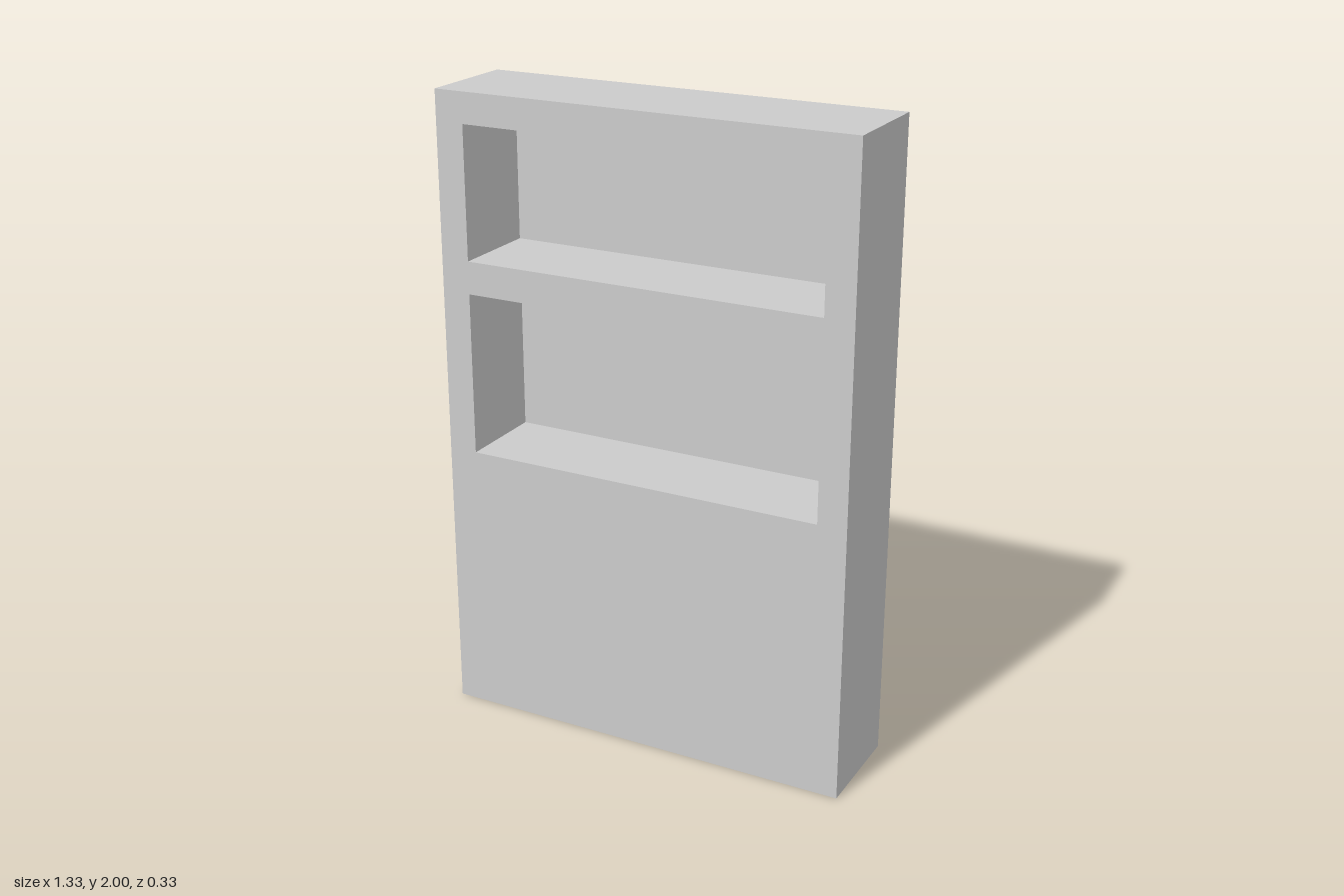
import * as THREE from 'three';

const W = 1.333, H = 2, D = 0.334;
const NICHE_W = 1.15, NICHE_D = 0.29;
const NICHES = [
  { name: 'upperNiche', bottom: 1.492, top: 1.905 },
  { name: 'lowerNiche', bottom: 0.878, top: 1.39 },
];

const material = new THREE.MeshStandardMaterial({ color: 0xcccccc, side: THREE.DoubleSide });

// Thin flat panel, facing +z before it is turned
function panel(name, w, h, position, rotation = [0, 0, 0]) {
  const mesh = new THREE.Mesh(new THREE.PlaneGeometry(w, h), material);
  mesh.name = name;
  mesh.position.set(...position);
  mesh.rotation.set(...rotation);
  return mesh;
}

function rectangle(PathType, x, bottom, top) {
  return new PathType([[-x, bottom], [x, bottom], [x, top], [-x, top]].map(p => new THREE.Vector2(...p)));
}

// Recessed tray, open towards the front
function niche({ name, bottom, top }) {
  const group = new THREE.Group();
  group.name = name;
  const h = top - bottom, y = (top + bottom) / 2, z = D / 2 - NICHE_D / 2, q = Math.PI / 2;
  group.add(
    panel('nicheBack', NICHE_W, h, [0, y, D / 2 - NICHE_D]),
    panel('nicheFloor', NICHE_W, NICHE_D, [0, bottom, z], [-q, 0, 0]),
    panel('nicheCeiling', NICHE_W, NICHE_D, [0, top, z], [q, 0, 0]),
    panel('nicheLeftWall', NICHE_D, h, [NICHE_W / 2, y, z], [0, -q, 0]),
    panel('nicheRightWall', NICHE_D, h, [-NICHE_W / 2, y, z], [0, q, 0]),
  );
  return group;
}

export function createModel() {
  const model = new THREE.Group();
  model.name = 'shelfWall';
  const q = Math.PI / 2;

  // Front panel with the niche openings
  const shape = rectangle(THREE.Shape, W / 2, 0, H);
  for (const n of NICHES) shape.holes.push(rectangle(THREE.Path, NICHE_W / 2, n.bottom, n.top));
  const front = new THREE.Mesh(new THREE.ShapeGeometry(shape), material);
  front.name = 'frontPanel';
  front.position.z = D / 2;

  // Outer shell, open underneath
  model.add(
    front,
    panel('backPanel', W, H, [0, H / 2, -D / 2], [0, Math.PI, 0]),
    panel('topPanel', W, D, [0, H, 0], [-q, 0, 0]),
    panel('leftPanel', D, H, [W / 2, H / 2, 0], [0, q, 0]),
    panel('rightPanel', D, H, [-W / 2, H / 2, 0], [0, -q, 0]),
  );

  // Recessed niches
  for (const n of NICHES) model.add(niche(n));
  return model;
}
